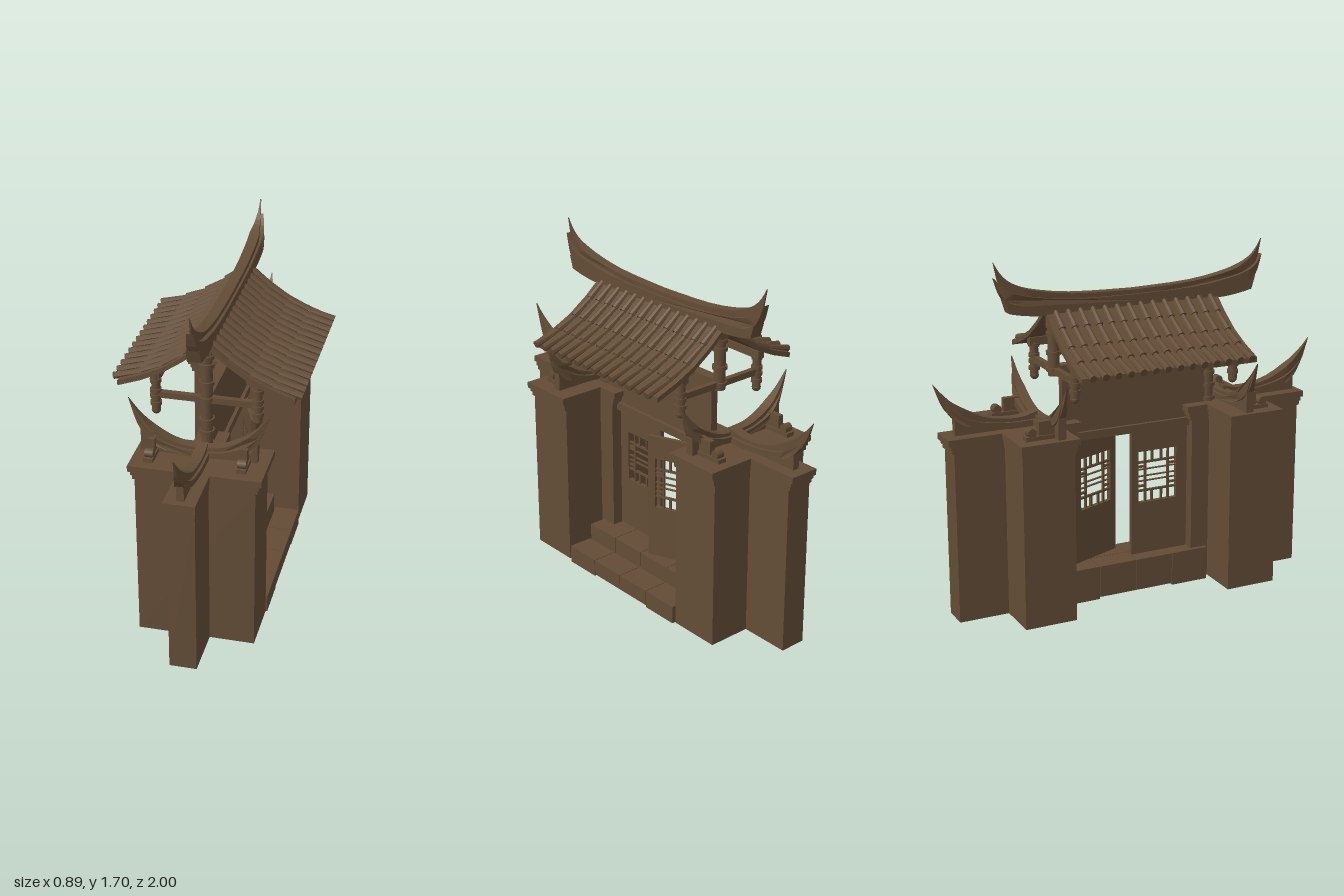
import * as THREE from 'three';

const wood = new THREE.MeshStandardMaterial({ color: 0x634c36 });
wood.name = 'weathered brown';

function add(parent, name, geometry, x = 0, y = 0, z = 0) {
  const mesh = new THREE.Mesh(geometry, wood);
  mesh.name = name;
  mesh.position.set(x, y, z);
  parent.add(mesh);
  return mesh;
}

// Box given by its lower and upper limits on each axis
function block(parent, name, x0, x1, y0, y1, z0, z1) {
  return add(parent, name, new THREE.BoxGeometry(x1 - x0, y1 - y0, Math.abs(z1 - z0)),
    (x0 + x1) / 2, (y0 + y1) / 2, (z0 + z1) / 2);
}

const flat = (g) => { const f = g.toNonIndexed(); f.computeVertexNormals(); return f; };

// Smooth run through a few [s, y] points
const smooth = (pts) => new THREE.SplineCurve(pts.map((p) => new THREE.Vector2(...p))).getPoints(14);

// Upswept blade between a top and a bottom edge; thins towards its tips. Runs along x.
function blade(top, bottom, width, tip, taper, mirrored) {
  let up = smooth(top), low = smooth(bottom);
  if (mirrored) {
    const flip = (a) => a.slice(1).reverse().map((p) => new THREE.Vector2(-p.x, p.y));
    up = [...flip(up), ...up];
    low = [...flip(low), ...low];
  }
  const g = new THREE.ExtrudeGeometry(new THREE.Shape([...low, ...up.reverse()]),
    { depth: width, bevelEnabled: false });
  const p = g.attributes.position;
  for (let i = 0; i < p.count; i++) {
    const f = THREE.MathUtils.clamp((tip - Math.abs(p.getX(i))) / taper, 0.12, 1);
    p.setZ(i, (p.getZ(i) - width / 2) * f);
  }
  g.computeVertexNormals();
  return g;
}

// Turned post with raised rings
function post(parent, name, x, z, y0, y1, r, rings) {
  const g = new THREE.Group();
  g.name = name;
  add(g, name + 'Shaft', new THREE.CylinderGeometry(r, r, y1 - y0, 12), x, (y0 + y1) / 2, z);
  for (const y of rings) add(g, name + 'Ring', new THREE.CylinderGeometry(r * 1.3, r * 1.3, 0.018, 12), x, y, z);
  parent.add(g);
}

// Cross-plan pillar with stepped caps and swept crests; s = +1 or -1 along z
function pillar(root, s) {
  const g = new THREE.Group();
  g.name = s > 0 ? 'frontPillar' : 'backPillar';
  const o = -0.012;
  const parts = [['pillarBody', 0.28, 0.41, 0.67], ['outerWing', 0.065, 0.66, 0.917], ['innerWing', 0.065, 0.315, 0.42]];
  for (const [name, hx, a, b] of parts) {
    block(g, name, -hx, hx, 0.01, 0.85, o + s * a, o + s * b);
    [[0.843, 0.865, 0.01], [0.865, 0.885, 0.018], [0.885, 0.915, 0.03]].forEach(([y0, y1, e], i) => {
      const ex = hx > 0.2 ? e : 0.003 * (i + 1);
      const ez = hx > 0.2 ? e * 0.5 : e;
      block(g, name + 'Cap', -hx - ex, hx + ex, y0, y1, o + s * (a - ez), o + s * (b + ez));
    });
  }

  // Crest across the pillar, on a low curved wall
  const zc = s > 0 ? 0.498 : -0.487;
  const across = add(g, 'crossCrest', blade(
    [[0, 0.965], [0.1, 0.975], [0.2, 1.025], [0.27, 1.09], [0.325, 1.17]],
    [[0, 0.93], [0.1, 0.94], [0.2, 0.97], [0.275, 1.03], [0.325, 1.17]], 0.05, 0.34, 0.12, true), -0.015, 0, zc);
  across.scale.x = 1.02;
  add(g, 'crossCrestLip', blade(
    [[0, 0.95], [0.1, 0.957], [0.2, 0.993], [0.27, 1.045], [0.3, 1.09]],
    [[0, 0.92], [0.1, 0.928], [0.2, 0.955], [0.265, 1.0], [0.3, 1.09]], 0.08, 0.34, 0.12, true), -0.01, 0, zc);
  add(g, 'crossCrestWall', blade(
    [[0, 0.94], [0.1, 0.95], [0.2, 0.985], [0.272, 1.04]],
    [[0, 0.91], [0.1, 0.91], [0.2, 0.91], [0.272, 0.91]], 0.04, 2, 0.1, true), -0.015, 0, zc);

  // Crest running out along the wing
  const along = new THREE.Group();
  along.name = 'wingCrest';
  along.rotation.y = -s * Math.PI / 2;
  add(along, 'wingCrestBlade', blade(
    [[0.5, 0.985], [0.6, 0.965], [0.75, 0.985], [0.88, 1.05], [0.95, 1.11], [1, 1.17]],
    [[0.5, 0.94], [0.6, 0.935], [0.75, 0.95], [0.88, 0.985], [0.95, 1.045], [1, 1.17]], 0.05, 1.01, 0.14));
  add(along, 'wingCrestLip', blade(
    [[0.5, 0.95], [0.65, 0.95], [0.8, 0.975], [0.9, 1.02], [0.96, 1.07]],
    [[0.5, 0.92], [0.65, 0.92], [0.8, 0.945], [0.9, 0.985], [0.96, 1.07]], 0.075, 1.0, 0.14));
  add(along, 'wingCrestWall', blade(
    [[0.5, 0.93], [0.65, 0.935], [0.8, 0.96], [0.905, 1.01]],
    [[0.5, 0.91], [0.65, 0.91], [0.8, 0.91], [0.905, 0.91]], 0.035, 2, 0.1));
  g.add(along);

  // Small scroll brackets beside the crest
  for (const x of [-0.225, 0.205]) {
    block(g, 'bracketFoot', x - 0.022, x + 0.022, 0.91, 0.935, s * 0.5, o + s * 0.635);
    block(g, 'bracketArm', x - 0.014, x + 0.014, 0.93, 1.0, s * 0.5, o + s * 0.57);
    const scroll = add(g, 'bracketScroll', new THREE.CylinderGeometry(0.022, 0.022, 0.04, 10), x, 0.95, o + s * 0.605);
    scroll.rotation.z = Math.PI / 2;
  }
  root.add(g);
}

// Door leaf from its hinge along +z, with a lattice window
function doorLeaf(root, name, hingeZ, dir, angle) {
  const g = new THREE.Group();
  g.name = name;
  const W = 0.31, T = 0.022;
  const rect = (P, z0, y0, z1, y1) => new P([[z0, y0], [z1, y0], [z1, y1], [z0, y1]].map((p) => new THREE.Vector2(...p)));
  const panel = rect(THREE.Shape, 0, 0.17, W, 0.815);
  panel.holes.push(rect(THREE.Path, 0.063, 0.437, 0.272, 0.7));
  const geo = new THREE.ExtrudeGeometry(panel, { depth: T, bevelEnabled: false });
  geo.translate(0, 0, -T / 2);
  geo.rotateY(-Math.PI / 2);
  add(g, name + 'Panel', geo);
  const bar = (z0, z1, y0, y1) => block(g, 'latticeBar', -0.006, 0.006, y0, y1, z0, z1);
  const b = 0.005;
  for (const z of [0.105, 0.23]) bar(z - b, z + b, 0.437, 0.7);
  for (const y of [0.495, 0.642]) bar(0.063, 0.272, y - b, y + b);
  for (const y of [0.545, 0.57, 0.605]) bar(0.063, 0.272, y - 0.0025, y + 0.0025);
  for (const z of [0.142, 0.193]) for (const y of [0.437, 0.642]) bar(z - b, z + b, y, y + 0.058);
  for (const z of [0.063, 0.23]) for (const y of [0.52, 0.62]) bar(z, z + 0.042, y - b, y + b);
  g.position.z = hingeZ;
  g.rotation.y = dir > 0 ? angle : Math.PI - angle;
  root.add(g);
}

function gateway(root) {
  // Sill stones and the lower step
  for (let i = 0; i < 4; i++) {
    const z0 = -0.405 + i * 0.198, z1 = z0 + 0.195;
    const y0 = i % 3 === 0 ? 0 : 0.01;
    block(root, 'lowerStepStone', 0.16, 0.285, y0, 0.09, z0, z1);
    block(root, 'sillStone', 0.035, 0.152, y0, 0.17, z0, z1);
    block(root, 'sillStone', -0.085, 0.032, y0, 0.17, z0, z1);
  }
  // Lintel and the board above the doors
  block(root, 'lintel', -0.035, 0.035, 0.81, 0.85, -0.325, 0.305);
  block(root, 'upperBoard', -0.018, 0.018, 0.84, 1.18, -0.37, 0.395);
  block(root, 'boardTopRail', -0.026, 0.026, 1.16, 1.19, -0.4, 0.43);
  doorLeaf(root, 'closedDoor', 0.308, -1, 0);
  doorLeaf(root, 'openDoor', -0.325, 1, 0.38);
}

function roof(root) {
  const g = new THREE.Group();
  g.name = 'roof';
  const line = [[0.02, 1.45], [0.1, 1.382], [0.2, 1.313], [0.3, 1.265], [0.41, 1.225]];
  for (const s of [-1, 1]) {
    // Curved slab under the tiles
    const outline = [...line, ...line.map(([x, y]) => [x, y - 0.025]).reverse()];
    const slab = new THREE.Shape(outline.map(([x, y]) => new THREE.Vector2(s * x, y)));
    add(g, 'roofSlab', new THREE.ExtrudeGeometry(slab, { depth: 0.9, bevelEnabled: false }), 0, 0, -0.445);
    // Overlapping barrel tiles
    const edge = [...line.slice(0, 4), [0.432, 1.222]];
    for (let row = 0; row < 14; row++) {
      for (let i = 0; i < 4; i++) {
        const a = new THREE.Vector3(s * edge[i][0], edge[i][1], 0);
        const b = new THREE.Vector3(s * edge[i + 1][0], edge[i + 1][1] + 0.006, 0);
        const tile = add(g, 'roofTile', flat(new THREE.CylinderGeometry(0.018, 0.0135, a.distanceTo(b) + 0.012, 8)));
        tile.position.copy(a).lerp(b, 0.5);
        tile.position.z = -0.4 + row * 0.0625;
        tile.quaternion.setFromUnitVectors(new THREE.Vector3(0, 1, 0), b.sub(a).normalize());
      }
    }
    // Eaves purlin and hanging posts
    block(g, 'eavesPurlin', s * 0.235 - 0.018, s * 0.235 + 0.018, 1.235, 1.275, -0.43, 0.44);
    for (const z of [-0.402, 0.425]) {
      post(g, 'hangingPost', s * 0.237, z, 1.09, 1.27, 0.021, [1.12, 1.155, 1.185, 1.235]);
      add(g, 'postDrop', new THREE.SphereGeometry(0.022, 12, 8), s * 0.237, 1.085, z);
    }
  }
  // Tie beams, king posts and ridge purlin
  for (const z of [-0.402, 0.425]) block(g, 'tieBeam', -0.237, 0.237, 1.152, 1.182, z - 0.014, z + 0.014);
  post(g, 'gateColumn', 0, 0.42, 0.915, 1.43, 0.028, [0.93, 1.0, 1.06, 1.17, 1.25, 1.34, 1.38]);
  post(g, 'kingPost', 0, -0.402, 1.14, 1.43, 0.028, [1.17, 1.25, 1.34, 1.38]);
  block(g, 'ridgePurlin', -0.025, 0.025, 1.39, 1.44, -0.43, 0.44);

  // Three-layer ridge with upswept ends
  const ridge = new THREE.Group();
  ridge.name = 'ridge';
  ridge.rotation.y = Math.PI / 2;
  ridge.position.z = 0.007;
  add(ridge, 'ridgeCrest', blade(
    [[0, 1.515], [0.3, 1.525], [0.5, 1.555], [0.6, 1.59], [0.66, 1.635], [0.7, 1.7]],
    [[0, 1.48], [0.3, 1.485], [0.5, 1.505], [0.6, 1.53], [0.67, 1.585], [0.7, 1.7]], 0.05, 0.71, 0.16, true));
  add(ridge, 'ridgeBand', blade(
    [[0, 1.495], [0.3, 1.5], [0.5, 1.525], [0.6, 1.55], [0.66, 1.58], [0.698, 1.625]],
    [[0, 1.46], [0.3, 1.465], [0.5, 1.48], [0.6, 1.5], [0.66, 1.53], [0.698, 1.625]], 0.072, 0.76, 0.14, true));
  add(ridge, 'ridgeBase', blade(
    [[0, 1.475], [0.3, 1.48], [0.5, 1.495], [0.6, 1.515], [0.655, 1.525]],
    [[0, 1.435], [0.3, 1.435], [0.46, 1.435], [0.56, 1.445], [0.635, 1.46]], 0.062, 2, 0.1, true));
  g.add(ridge);
  root.add(g);
}

export function createModel() {
  const root = new THREE.Group();
  root.name = 'roofedGateway';
  pillar(root, 1);
  pillar(root, -1);
  gateway(root);
  roof(root);
  return root;
}
